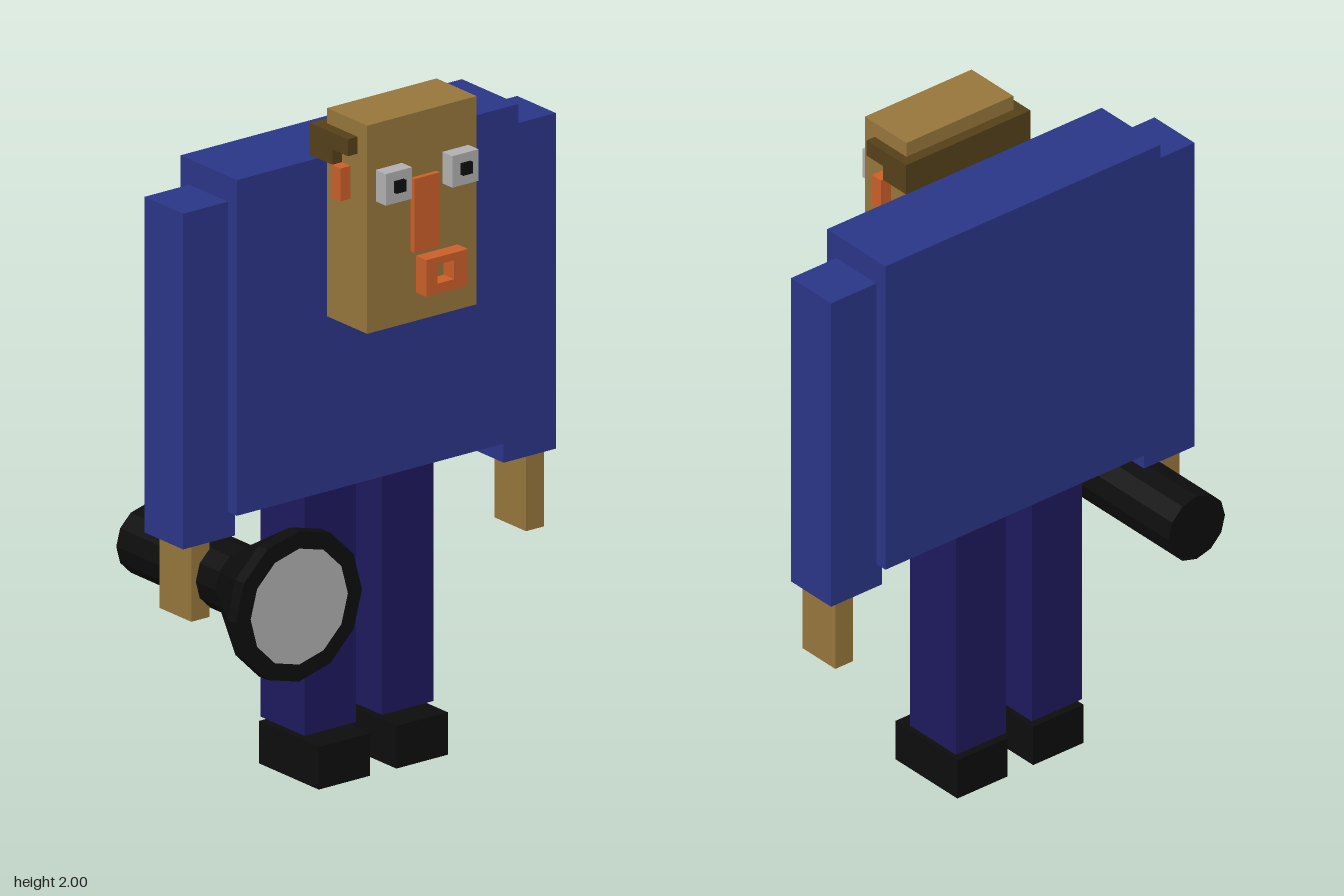
import * as THREE from 'three';

const mat = (color) => new THREE.MeshStandardMaterial({ color, flatShading: true });

export function createModel() {
  const model = new THREE.Group();
  model.name = 'blockFigure';

  const blue = mat(0x2b3689), navy = mat(0x1e1a5e), black = mat(0x0d0d0d);
  const skin = mat(0x98773c), brown = mat(0x56411a), orange = mat(0xcc6029);
  const grey = mat(0xb2b2b2);

  const add = (name, geometry, material) => {
    const mesh = new THREE.Mesh(geometry, material);
    mesh.name = name;
    model.add(mesh);
    return mesh;
  };
  // Box given by its extents along each axis
  const box = (name, material, [x0, x1], [y0, y1], [z0, z1]) => {
    const mesh = add(name, new THREE.BoxGeometry(x1 - x0, y1 - y0, z1 - z0), material);
    mesh.position.set((x0 + x1) / 2, (y0 + y1) / 2, (z0 + z1) / 2);
    return mesh;
  };

  // Torso, arms and hands
  box('torso', blue, [-0.465, 0.525], [0.86, 1.85], [-0.19, 0.063]);
  box('leftArm', blue, [0.505, 0.688], [0.785, 1.775], [-0.15, 0.023]);
  box('rightArm', blue, [-0.622, -0.44], [0.785, 1.775], [-0.15, 0.023]);
  box('leftHand', skin, [0.592, 0.656], [0.56, 0.8], [-0.13, 0.012]);
  box('rightHand', skin, [-0.585, -0.52], [0.56, 0.8], [-0.13, 0.012]);

  // Legs and shoes
  for (const [side, x] of [['left', 0.075], ['right', -0.198]]) {
    box(side + 'Leg', navy, [x, x + 0.181], [0.14, 0.855], [-0.172, 0.026]);
    box(side + 'Shoe', black, [x, x + 0.181], [0, 0.125], [-0.178, 0.09]);
  }

  // Head and ears
  box('head', skin, [-0.163, 0.222], [1.386, 2], [0.083, 0.263]);
  box('leftEar', orange, [0.222, 0.258], [1.763, 1.86], [0.15, 0.188]);
  box('rightEar', orange, [-0.199, -0.163], [1.763, 1.86], [0.15, 0.188]);

  // Hair: a band across the back and stepped pieces along the temples
  box('hairBack', brown, [-0.197, 0.251], [1.86, 1.955], [0.05, 0.083]);
  for (const [side, xs] of [['left', [0.222, 0.251]], ['right', [-0.197, -0.163]]]) {
    box(side + 'HairBand', brown, xs, [1.905, 1.955], [0.083, 0.22]);
    box(side + 'Sideburn', brown, xs, [1.86, 1.905], [0.083, 0.15]);
  }

  // Eyes with pupils
  for (const [side, x] of [['left', 0.147], ['right', -0.087]]) {
    box(side + 'Eye', grey, [x - 0.046, x + 0.046], [1.77, 1.863], [0.263, 0.308]);
    box(side + 'Pupil', black, [x - 0.017, x + 0.017], [1.802, 1.836], [0.3, 0.32]);
  }

  box('nose', orange, [-0.01, 0.08], [1.595, 1.812], [0.263, 0.279]);

  // Mouth: a square frame with an opening
  const rect = (Type, x0, y0, x1, y1) => new Type([
    new THREE.Vector2(x0, y0), new THREE.Vector2(x1, y0),
    new THREE.Vector2(x1, y1), new THREE.Vector2(x0, y1),
  ]);
  const lips = rect(THREE.Shape, 0.008, 1.47, 0.155, 1.578);
  lips.holes.push(rect(THREE.Path, 0.048, 1.5, 0.106, 1.556));
  add('mouth', new THREE.ExtrudeGeometry(lips, { depth: 0.047, bevelEnabled: false }), orange)
    .position.z = 0.263;

  // Torch: twelve-sided handle, flared head and rim, turned to point forward
  const profile = [[0, -0.345], [0.102, -0.345], [0.102, 0.1], [0.222, 0.305], [0.222, 0.344], [0, 0.344]]
    .map(([r, h]) => new THREE.Vector2(r, h));
  const torch = add('torch', new THREE.LatheGeometry(profile, 12), black);
  torch.rotation.x = Math.PI / 2;
  torch.position.set(-0.467, 0.675, 0);
  // Angled start puts the lens corners in line with the rim corners
  const lens = add('torchLens', new THREE.CircleGeometry(0.171, 12), grey);
  lens.position.set(-0.467, 0.675, 0.346);

  return model;
}
